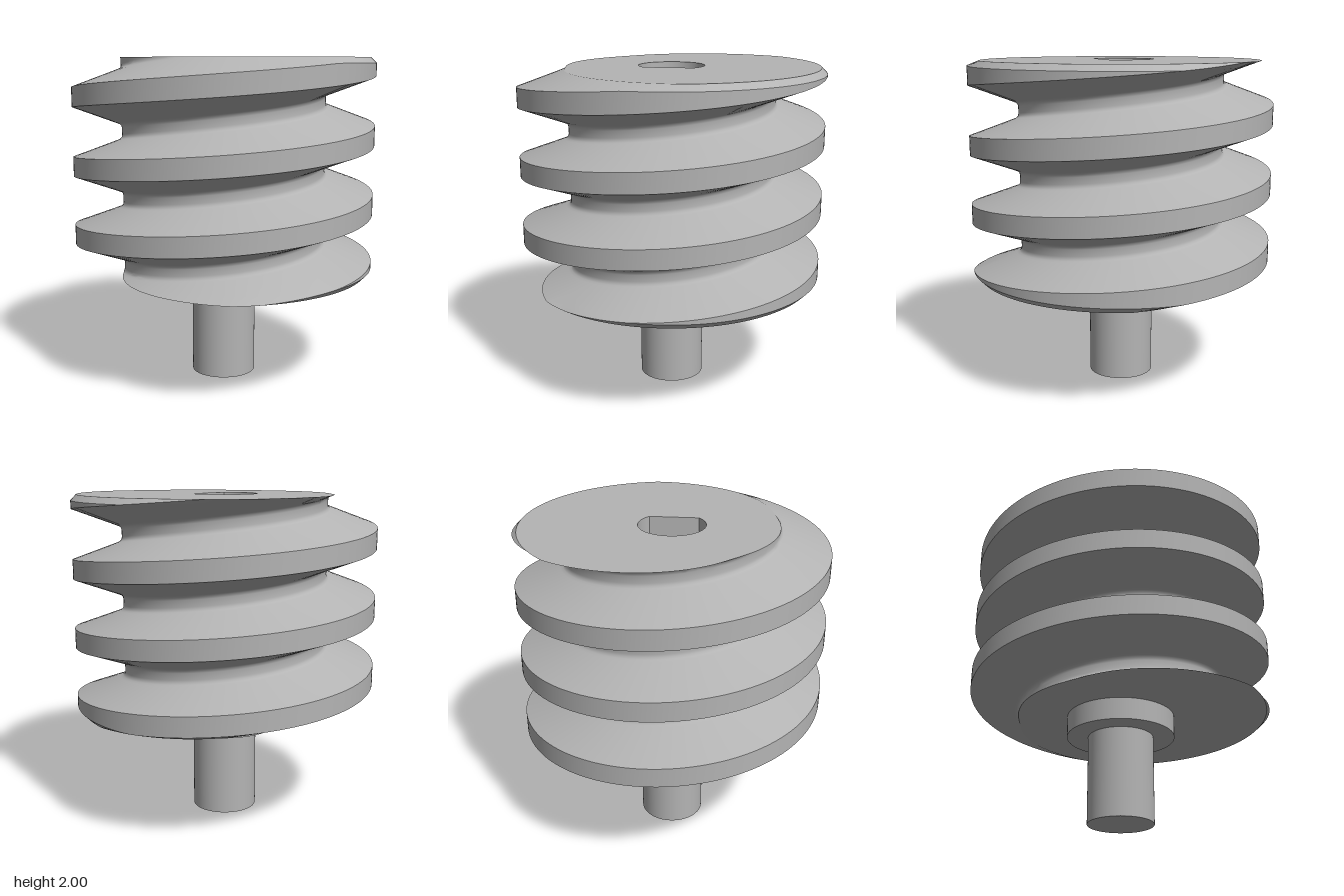
import * as THREE from 'three';
import { toCreasedNormals } from 'three/addons/utils/BufferGeometryUtils.js';

const BOTTOM = 0.672, TOP = 2, CHAMFER = 0.035, PITCH = 0.42, CREST_Y = 0.92;
const SEGMENTS = 160, BORE_FLOOR = 1.45;

// Half of one thread tooth: [distance from crest centre, radius], with a root fillet
const TOOTH = [[0, 0.93], [0.06, 0.93], [0.158, 0.66], [0.165, 0.643], [0.175, 0.633], [0.19, 0.63], [0.21, 0.63]];

const clamp = THREE.MathUtils.clamp;
const crestAt = (t) => CREST_Y + PITCH * t / (2 * Math.PI);

function threadRadius(t, y) {
  const turns = (y - crestAt(t)) / PITCH;
  const d = Math.min(Math.abs(turns - Math.round(turns)) * PITCH, 0.21);
  let i = 1;
  while (i < TOOTH.length - 1 && d > TOOTH[i][0]) i++;
  const [d0, r0] = TOOTH[i - 1], [d1, r1] = TOOTH[i];
  const r = r0 + (r1 - r0) * (d - d0) / (d1 - d0);
  return Math.min(r, 0.93 - CHAMFER + Math.min(TOP - y, y - BOTTOM));
}

// Surface from a grid of points, leaving out collapsed triangles
function gridGeometry(columns) {
  const pos = [];
  const tri = (a, b, c) => {
    const n = b.clone().sub(a).cross(c.clone().sub(a));
    if (n.length() > 1e-8) for (const p of [a, b, c]) pos.push(p.x, p.y, p.z);
  };
  for (let i = 0; i < columns.length - 1; i++) {
    const p = columns[i], q = columns[i + 1];
    for (let j = 0; j < p.length - 1; j++) {
      tri(p[j], q[j], q[j + 1]);
      tri(p[j], q[j + 1], p[j + 1]);
    }
  }
  const g = new THREE.BufferGeometry();
  g.setAttribute('position', new THREE.Float32BufferAttribute(pos, 3));
  return toCreasedNormals(g, 0.7);
}

// Helical rows follow the tooth edges and are clipped into chamfer and body bands
function threadGeometry() {
  const offsets = [...TOOTH.slice(1).reverse().map((k) => -k[0]), ...TOOTH.slice(1, -1).map((k) => k[0])];
  const bands = [[BOTTOM, BOTTOM + CHAMFER], [BOTTOM + CHAMFER, TOP - CHAMFER], [TOP - CHAMFER, TOP]];
  const columns = [];
  for (let i = 0; i <= SEGMENTS; i++) {
    const t = i / SEGMENTS * 2 * Math.PI, column = [];
    for (const [low, high] of bands) {
      for (let turn = -3; turn <= 5; turn++) {
        for (const d of offsets) {
          const y = clamp(crestAt(t) + turn * PITCH + d, low, high);
          const r = threadRadius(t, y);
          column.push(new THREE.Vector3(-r * Math.cos(t), y, r * Math.sin(t)));
        }
      }
    }
    columns.push(column);
  }
  return gridGeometry(columns);
}

// Outline of the clipped thread at a height, as (x, sign * z)
function rimShape(y, sign) {
  const pts = [];
  for (let i = 0; i < SEGMENTS; i++) {
    const t = i / SEGMENTS * 2 * Math.PI, r = threadRadius(t, y);
    pts.push(new THREE.Vector2(-r * Math.cos(t), sign * r * Math.sin(t)));
  }
  return new THREE.Shape(pts);
}

// D-shaped bore: an arc closed by one flat
function boreOutline() {
  const pts = [];
  for (let i = 0; i <= 48; i++) {
    const a = THREE.MathUtils.degToRad(96 + 264 * i / 48);
    pts.push(new THREE.Vector2(0.2 * Math.cos(a), 0.2 * Math.sin(a)));
  }
  return pts;
}

export function createModel() {
  const group = new THREE.Group();
  const steel = new THREE.MeshStandardMaterial({ color: 0xb4b4b4 });
  steel.name = 'grey steel';
  const add = (name, geometry, y = 0) => {
    const mesh = new THREE.Mesh(geometry, steel);
    mesh.name = name;
    mesh.position.y = y;
    group.add(mesh);
  };

  add('screwThread', threadGeometry());

  // End faces
  const outline = boreOutline();
  const flipped = outline.map((p) => new THREE.Vector2(p.x, -p.y));
  const topShape = rimShape(TOP, -1);
  topShape.holes.push(new THREE.Path(flipped));
  add('topFace', new THREE.ShapeGeometry(topShape).rotateX(-Math.PI / 2), TOP);
  add('bottomFace', new THREE.ShapeGeometry(rimShape(BOTTOM, 1)).rotateX(Math.PI / 2), BOTTOM);

  // Blind bore
  add('boreWall', gridGeometry([...outline, outline[0]].map((p) =>
    [BORE_FLOOR, TOP].map((y) => new THREE.Vector3(p.x, y, p.y)))));
  add('boreFloor', new THREE.ShapeGeometry(new THREE.Shape(flipped)).rotateX(-Math.PI / 2), BORE_FLOOR);

  // Collar and shaft below the thread
  add('collar', new THREE.CylinderGeometry(0.33, 0.33, BOTTOM - 0.54, 64), (BOTTOM + 0.54) / 2);
  add('shaft', new THREE.CylinderGeometry(0.2, 0.2, 0.54, 64), 0.27);
  return group;
}
